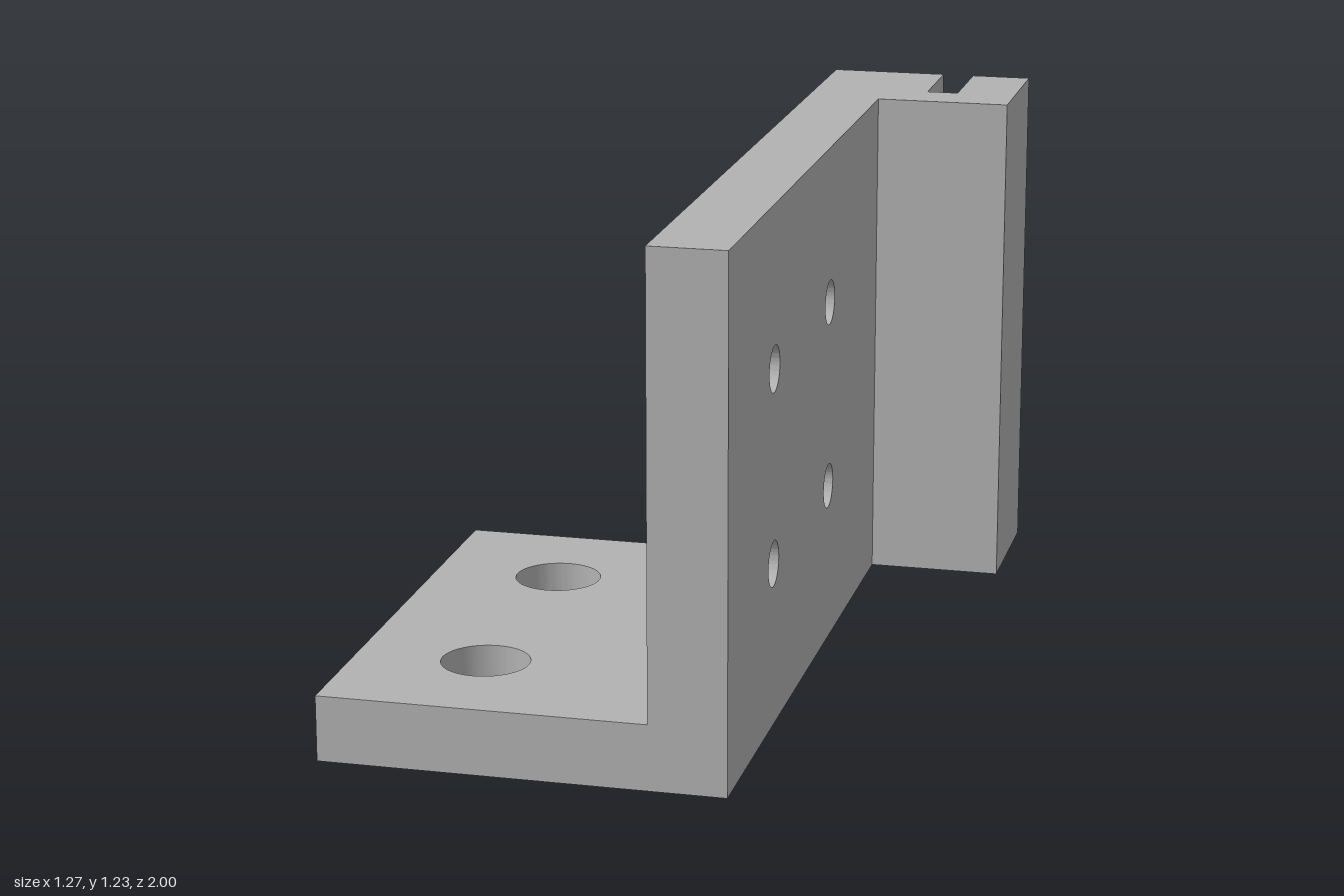
import * as THREE from 'three';
import { toCreasedNormals } from 'three/addons/utils/BufferGeometryUtils.js';

const HEIGHT = 1.227, BASE_THICKNESS = 0.155;
const X_LEFT = -0.635, WALL_IN = 0.127, BORE_FLOOR = 0.227, WALL_OUT = 0.307, X_RIGHT = 0.632;

// Flat plate from an outline, round holes [x, y] and a thickness
function plate(points, holes, radius, depth) {
  const shape = new THREE.Shape(points.map(([x, y]) => new THREE.Vector2(x, y)));
  for (const [x, y] of holes) {
    const path = new THREE.Path();
    path.absarc(x, y, radius, 0, Math.PI * 2, true);
    shape.holes.push(path);
  }
  const geometry = new THREE.ExtrudeGeometry(shape, { depth, bevelEnabled: false, curveSegments: 40 });
  return toCreasedNormals(geometry, Math.PI / 6);
}

const rectangle = (x0, y0, x1, y1) => [[x0, y0], [x1, y0], [x1, y1], [x0, y1]];

export function createModel() {
  const model = new THREE.Group();
  model.name = 'mountingBracket';
  const metal = new THREE.MeshStandardMaterial({ color: 0xb2b2b2 });
  metal.name = 'grey metal';

  const add = (name, geometry) => {
    const mesh = new THREE.Mesh(geometry, metal);
    mesh.name = name;
    model.add(mesh);
  };

  // Base plate with two bolt holes, drawn in (x, -z) and laid flat
  const base = plate(rectangle(X_LEFT, -1, WALL_IN, 0.225), [[-0.332, -0.08], [-0.332, -0.692]], 0.103, BASE_THICKNESS);
  add('basePlate', base.rotateX(-Math.PI / 2));

  // Upright wall drawn in (-z, y): wide counterbores inside, narrow screw holes outside
  const screws = [-0.545, 0.065].flatMap((z) => [0.39, 0.848].map((y) => [z, y]));
  const wallLayer = (radius, x0, x1) =>
    plate(rectangle(-1, 0, 1, HEIGHT), screws, radius, x1 - x0).rotateY(Math.PI / 2).translate(x0, 0, 0);
  add('wallCounterboreLayer', wallLayer(0.095, WALL_IN, BORE_FLOOR));
  add('wallScrewHoleLayer', wallLayer(0.054, BORE_FLOOR, WALL_OUT));

  // Rear flange with a full-height slot open to the back
  const flange = plate([
    [WALL_OUT, 0.645], [X_RIGHT, 0.645], [X_RIGHT, 1], [0.487, 1],
    [0.487, 0.765], [0.41, 0.765], [0.41, 1], [WALL_OUT, 1],
  ], [], 0, HEIGHT);
  add('slottedFlange', flange.rotateX(-Math.PI / 2));

  return model;
}
